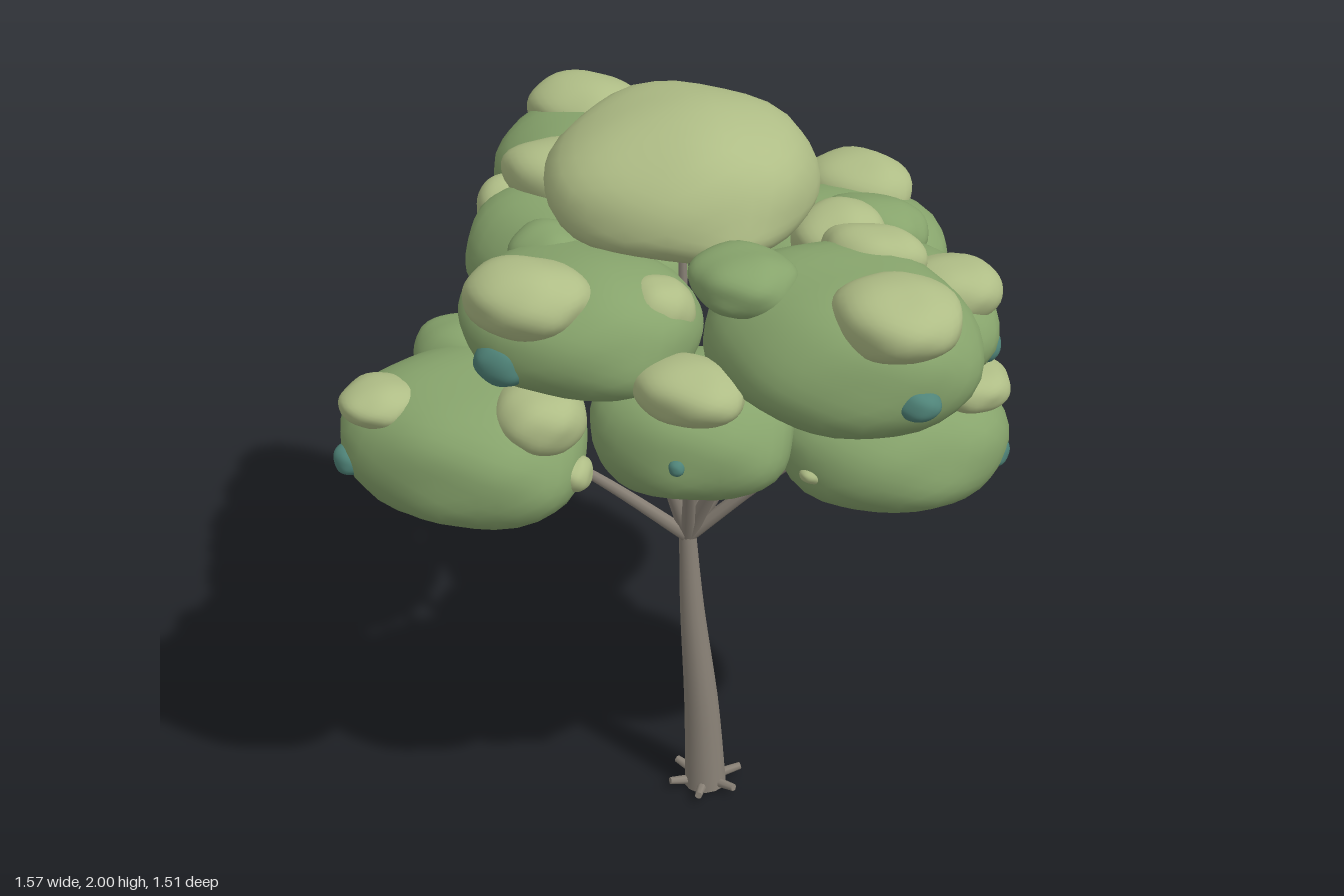
import * as THREE from 'three';
import { mergeVertices } from 'three/addons/utils/BufferGeometryUtils.js';

const mat = (color) => new THREE.MeshStandardMaterial({ color, roughness: 0.9 });
const leaf = mat(0x87a46c), pale = mat(0xafbd86), teal = mat(0x4f8378), bark = mat(0x8a8277);
bark.side = THREE.DoubleSide;

// Lumpy rounded clump: round in plan, squared off slightly in height and
// rippled by low waves. under scales the lower half, for flat-bottomed domes.
function clump(name, material, [x, y, z, rx, ry, rz], seed, under = 1) {
  const raw = new THREE.IcosahedronGeometry(1, 6);
  raw.deleteAttribute('uv');
  raw.deleteAttribute('normal');
  const geo = mergeVertices(raw, 1e-4);
  const p = geo.attributes.position;
  const v = new THREE.Vector3();
  const e = 2.3;
  for (let i = 0; i < p.count; i++) {
    v.fromBufferAttribute(p, i).normalize();
    const box = Math.pow(Math.hypot(v.x, v.z) ** e + Math.abs(v.y) ** e, -1 / e);
    const wave = Math.sin(3 * v.x + seed * 1.7) * Math.sin(2.6 * v.z + seed * 2.3)
      + 0.6 * Math.sin(4.3 * v.y + 2 * v.x + seed) * Math.cos(3.7 * v.z - seed * 1.1)
      + 0.4 * Math.sin(6 * v.x - 2 * v.y + seed * 3.1) * Math.sin(5.5 * v.z + 3 * v.y + seed);
    v.multiplyScalar(box * (0.995 + 0.05 * wave));
    p.setXYZ(i, v.x * rx, v.y * ry * (v.y < 0 ? under : 1), v.z * rz);
  }
  geo.computeVertexNormals();
  const mesh = new THREE.Mesh(geo, material);
  mesh.position.set(x, y, z);
  mesh.name = name;
  return mesh;
}

// Tapered round limb swept along a smooth curve.
function limb(name, points, radii, sides = 10) {
  const curve = new THREE.CatmullRomCurve3(points.map((q) => new THREE.Vector3(...q)));
  const segs = 12;
  const geo = new THREE.TubeGeometry(curve, segs, 1, sides, false);
  const p = geo.attributes.position;
  const v = new THREE.Vector3();
  for (let i = 0; i < p.count; i++) {
    const t = Math.floor(i / (sides + 1)) / segs;
    const f = t * (radii.length - 1), k = Math.min(Math.floor(f), radii.length - 2);
    const r = THREE.MathUtils.lerp(radii[k], radii[k + 1], f - k);
    const c = curve.getPointAt(t);
    v.fromBufferAttribute(p, i).sub(c).multiplyScalar(r).add(c);
    p.setXYZ(i, v.x, v.y, v.z);
  }
  const mesh = new THREE.Mesh(geo, bark);
  mesh.name = name;
  return mesh;
}

// Main foliage masses: centre, then radii.
const masses = [
  [-0.44, 1.24, 0.50, 0.315, 0.19, 0.265],
  [-0.18, 1.575, 0.41, 0.30, 0.16, 0.24],
  [0.445, 1.60, 0.30, 0.32, 0.195, 0.275],
  [0.12, 1.36, 0.42, 0.245, 0.165, 0.21],
  [0.43, 1.175, -0.04, 0.30, 0.175, 0.26],
  [0.40, 1.47, -0.06, 0.29, 0.165, 0.25],
  [0.11, 1.37, -0.46, 0.32, 0.19, 0.28],
  [-0.45, 1.55, -0.36, 0.325, 0.185, 0.265],
  [-0.42, 1.46, -0.08, 0.30, 0.17, 0.22],
];

// Pale tufts sitting on the masses.
const paleTufts = [
  [-0.56, 1.69, -0.46, 0.17, 0.085, 0.125],
  [-0.09, 1.57, -0.45, 0.11, 0.09, 0.13],
  [0.13, 1.52, -0.64, 0.15, 0.085, 0.12],
  [0.25, 1.60, -0.19, 0.12, 0.085, 0.12],
  [0.57, 1.57, -0.10, 0.125, 0.07, 0.115],
  [-0.48, 1.645, -0.16, 0.17, 0.085, 0.115],
  [-0.64, 1.54, -0.13, 0.075, 0.085, 0.075],
  [0.45, 1.745, 0.13, 0.125, 0.065, 0.09],
  [0.61, 1.74, 0.40, 0.15, 0.085, 0.14],
  [-0.24, 1.69, 0.55, 0.16, 0.085, 0.125],
  [0.02, 1.64, 0.40, 0.09, 0.08, 0.09],
  [0.16, 1.52, 0.53, 0.14, 0.07, 0.105],
  [-0.61, 1.37, 0.62, 0.10, 0.05, 0.10],
  [-0.23, 1.37, 0.53, 0.115, 0.08, 0.12],
  [-0.14, 1.22, 0.52, 0.035, 0.04, 0.05],
  [0.34, 1.155, 0.20, 0.035, 0.02, 0.03],
  [0.65, 1.34, -0.06, 0.09, 0.055, 0.10],
  [0.39, 1.36, -0.35, 0.05, 0.045, 0.06],
  [0.32, 1.37, 0.23, 0.04, 0.045, 0.04],
];

// Green tufts.
const leafTufts = [
  [-0.18, 1.65, -0.38, 0.12, 0.085, 0.115],
  [0.26, 1.53, -0.39, 0.15, 0.085, 0.11],
  [0.23, 1.755, 0.39, 0.13, 0.07, 0.115],
  [-0.31, 1.67, 0.29, 0.10, 0.07, 0.09],
  [-0.52, 1.37, 0.32, 0.15, 0.085, 0.11],
];

// Small teal accents on the outer faces.
const tealTufts = [
  [-0.67, 1.22, 0.66, 0.045, 0.04, 0.05],
  [-0.28, 1.54, 0.62, 0.07, 0.05, 0.04],
  [0.68, 1.57, 0.46, 0.06, 0.04, 0.045],
  [0.16, 1.36, 0.61, 0.02, 0.02, 0.02],
  [0.715, 1.155, -0.08, 0.03, 0.035, 0.045],
  [0.66, 1.425, -0.11, 0.04, 0.04, 0.05],
  [0.16, 1.35, -0.71, 0.06, 0.045, 0.04],
  [-0.65, 1.46, -0.49, 0.045, 0.04, 0.05],
];

export function createModel() {
  const tree = new THREE.Group();
  tree.name = 'tree';

  // Trunk, curved slightly and open underneath
  tree.add(limb('trunk', [[-0.015, 0.005, 0.045], [-0.025, 0.25, 0.045], [-0.05, 0.58, 0.05], [-0.062, 0.83, 0.05]],
    [0.057, 0.046, 0.033, 0.021], 14));

  // Root stubs
  for (let i = 0; i < 6; i++) {
    const a = (i / 6) * Math.PI * 2 + 0.3;
    const root = new THREE.Mesh(new THREE.CylinderGeometry(0.01, 0.014, 0.07, 7), bark);
    const dir = new THREE.Vector3(Math.cos(a), 0.15, Math.sin(a)).normalize();
    root.quaternion.setFromUnitVectors(new THREE.Vector3(0, 1, 0), dir);
    root.position.set(-0.015 + 0.066 * Math.cos(a), 0.025, 0.045 + 0.066 * Math.sin(a));
    root.name = 'root';
    tree.add(root);
  }

  // One thin branch rising into the inner part of each mass and the crown
  const crown = [-0.08, 1.785, 0.04, 0.335, 0.212, 0.322];
  [...masses, crown].forEach(([x, y, z]) => {
    const s = [-0.06, 0.79, 0.05];
    const e = [s[0] + (x - s[0]) * 0.75, y - 0.04, s[2] + (z - s[2]) * 0.75];
    const mid = s.map((c, i) => c + (e[i] - c) * 0.5 + (i === 1 ? 0.01 : 0));
    tree.add(limb('branch', [s, mid, e], [0.02, 0.015, 0.009], 8));
  });

  // Foliage
  const foliage = new THREE.Group();
  foliage.name = 'foliage';
  foliage.add(clump('crown', pale, crown, 2, 0.6));
  masses.forEach((m, i) => foliage.add(clump('foliageMass', leaf, m, i + 1)));
  paleTufts.forEach((m, i) => foliage.add(clump('paleTuft', pale, m, i + 20)));
  leafTufts.forEach((m, i) => foliage.add(clump('leafTuft', leaf, m, i + 50)));
  tealTufts.forEach((m, i) => foliage.add(clump('tealTuft', teal, m, i + 70)));
  tree.add(foliage);
  return tree;
}
